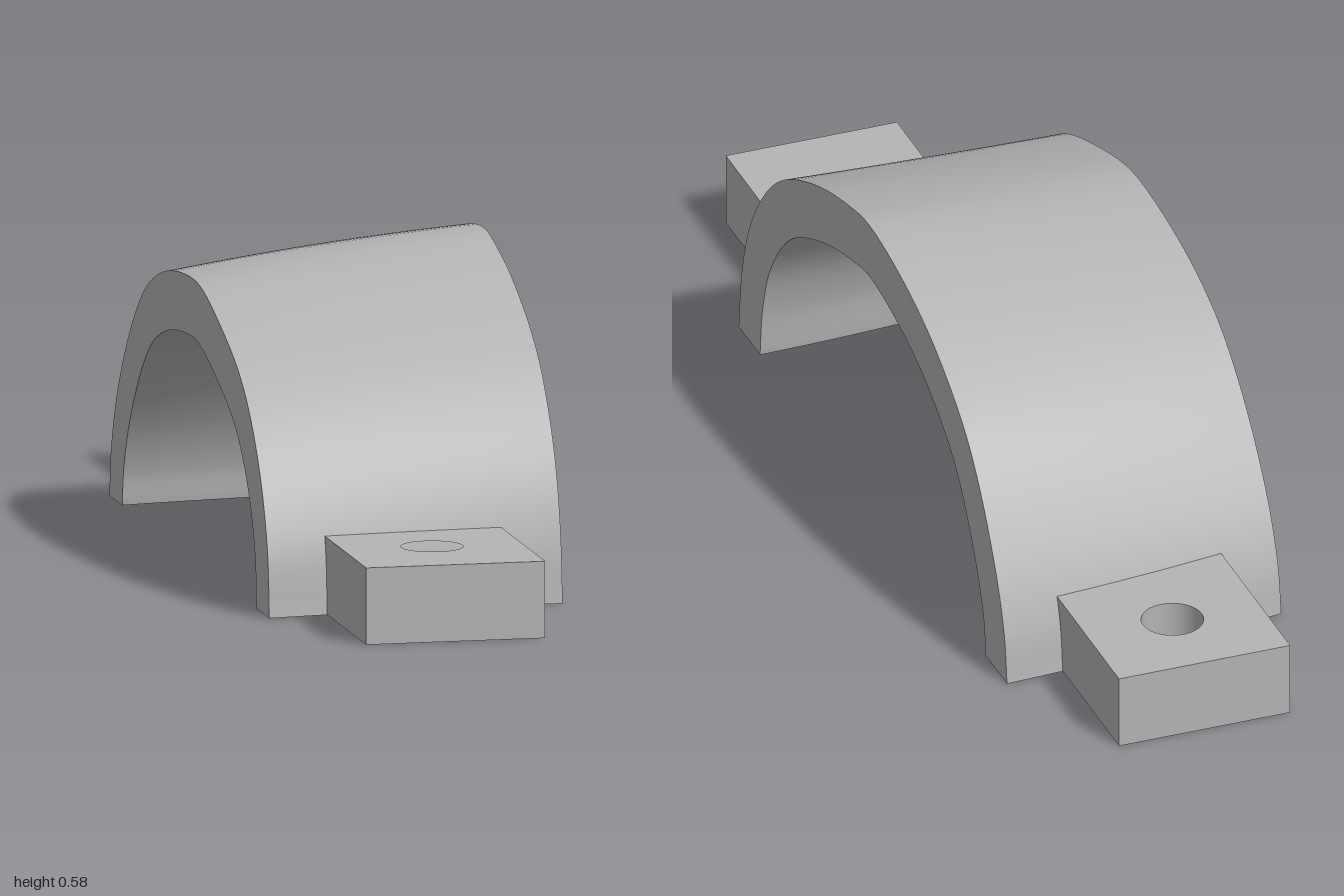
import * as THREE from 'three';
import { mergeGeometries } from 'three/addons/utils/BufferGeometryUtils.js';

const HALF = 0.278, WALL = 0.108, TAB_H = 0.142, TAB_W = 0.167;

// Outer arch profiles as (z, y), from the front foot over to the back foot
const profile = pts => new THREE.CatmullRomCurve3(pts.map(([z, y]) => new THREE.Vector3(0, y, z)));
const rightEnd = profile([[-0.02, 0.583]].length && [
  [0.645, 0], [0.63, 0.12], [0.59, 0.24], [0.513, 0.353], [0.42, 0.435], [0.245, 0.52], [0.085, 0.567],
  [-0.02, 0.583], [-0.21, 0.556], [-0.37, 0.5], [-0.53, 0.395], [-0.65, 0.23], [-0.705, 0.1], [-0.72, 0]]);
const leftEnd = profile([
  [0.685, 0], [0.67, 0.12], [0.615, 0.24], [0.53, 0.34], [0.43, 0.41], [0.26, 0.475], [0.105, 0.515],
  [-0.02, 0.517], [-0.21, 0.49], [-0.36, 0.435], [-0.49, 0.335], [-0.6, 0.2], [-0.65, 0.09], [-0.665, 0]]);

// Outer skin: blend of the two profiles with a slight bow along x
function skin(u, v) {
  const p = leftEnd.getPoint(v).lerp(rightEnd.getPoint(v), u);
  const bow = 4 * u * (1 - u);
  p.z -= 0.008 * bow;
  p.y += 0.005 * bow * Math.sin(Math.PI * v);
  p.x = (u * 2 - 1) * HALF;
  return p;
}

// Point in the wall: w = 0 on the outer skin, w = 1 on the inner skin
function wallPoint(u, v, w) {
  const p = skin(u, v);
  const t = skin(u, Math.min(1, v + 0.01)).sub(skin(u, Math.max(0, v - 0.01)));
  const n = new THREE.Vector2(t.y, -t.z); // outward normal as (z, y)
  if (v === 0 || v === 1) n.y = 0;
  n.normalize();
  p.z -= n.x * WALL * w;
  p.y = Math.max(0, p.y - n.y * WALL * w);
  return p;
}

// Grid patch whose front faces along d/da x d/db
function patch(fn, na, nb) {
  const pos = [], idx = [];
  for (let i = 0; i <= na; i++)
    for (let j = 0; j <= nb; j++) pos.push(...fn(i / na, j / nb).toArray());
  for (let i = 0; i < na; i++)
    for (let j = 0; j < nb; j++) {
      const k = i * (nb + 1) + j, m = k + nb + 1;
      idx.push(k, m, m + 1, k, m + 1, k + 1);
    }
  const g = new THREE.BufferGeometry();
  g.setAttribute('position', new THREE.Float32BufferAttribute(pos, 3));
  g.setIndex(idx);
  g.computeVertexNormals();
  return g;
}

// Mounting tab running from z0 to z1 with a vertical bolt hole
function tabGeometry(z0, z1, holeZ) {
  const s = new THREE.Shape();
  s.moveTo(-TAB_W, -z0).lineTo(TAB_W, -z0).lineTo(TAB_W, -z1).lineTo(-TAB_W, -z1).closePath();
  s.holes.push(new THREE.Path().absarc(0, -holeZ, 0.057, 0, Math.PI * 2, true));
  const g = new THREE.ExtrudeGeometry(s, { depth: TAB_H, bevelEnabled: false, curveSegments: 32 });
  return g.rotateX(-Math.PI / 2);
}

export function createModel() {
  const group = new THREE.Group();
  const metal = new THREE.MeshStandardMaterial({ color: 0xb4b4b4 });
  metal.name = 'grey metal';
  const add = (name, geometry) => {
    const mesh = new THREE.Mesh(geometry, metal);
    mesh.name = name;
    group.add(mesh);
  };

  // Curved strap: separate patches keep the rim edges sharp
  const U = 16, V = 80;
  add('archStrap', mergeGeometries([
    patch((u, v) => wallPoint(u, v, 0), U, V),  // outer skin
    patch((v, u) => wallPoint(u, v, 1), V, U),  // inner skin
    patch((w, v) => wallPoint(1, v, w), 1, V),  // +x rim
    patch((v, w) => wallPoint(0, v, w), V, 1),  // -x rim
    patch((w, u) => wallPoint(u, 0, w), 1, U),  // front foot
    patch((u, w) => wallPoint(u, 1, w), U, 1),  // back foot
  ]));

  add('frontTab', tabGeometry(0.6, 1, 0.8));
  add('backTab', tabGeometry(-0.62, -1, -0.836));
  return group;
}
